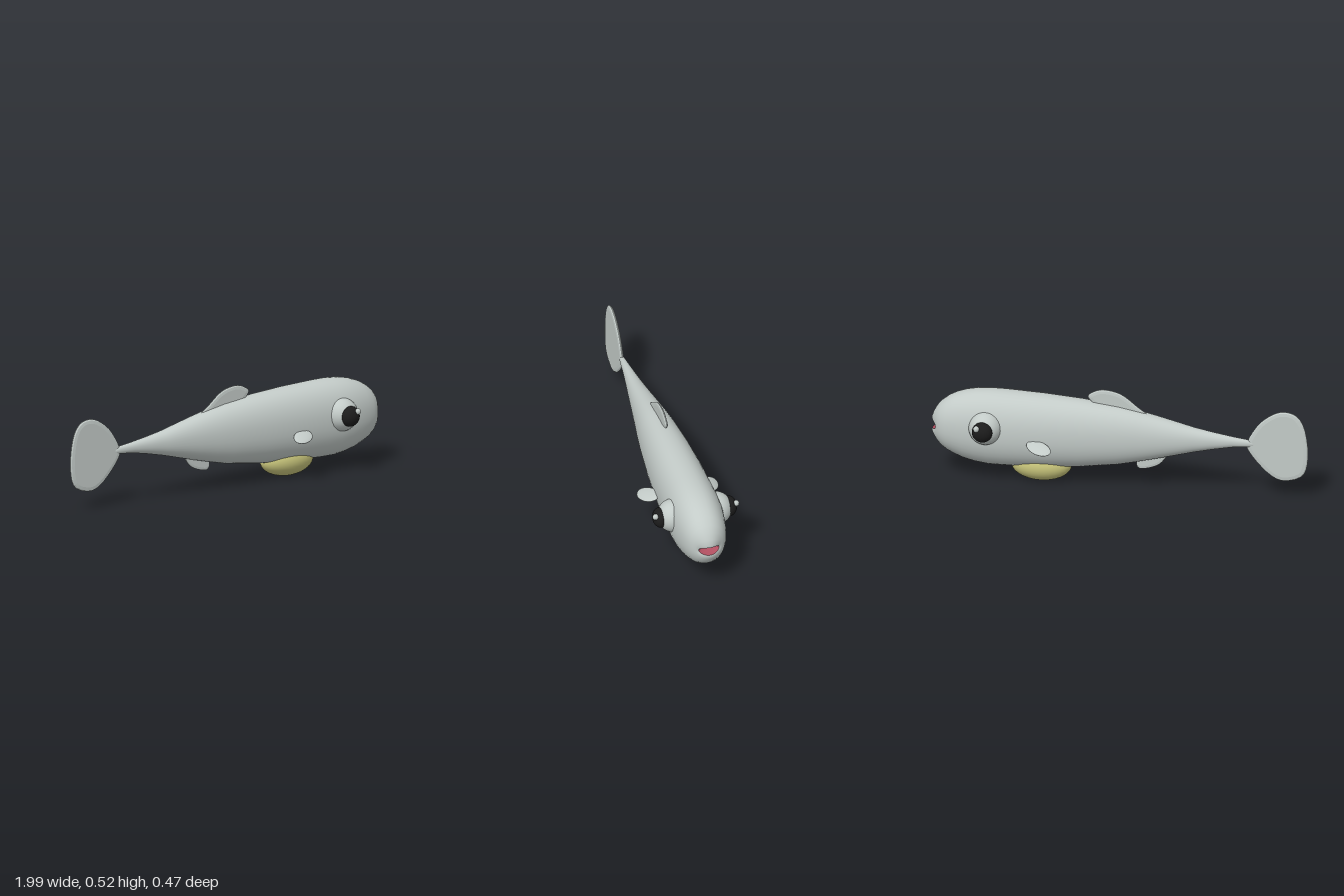
import * as THREE from 'three';

const mat = (name, color, side = THREE.FrontSide) => {
  const m = new THREE.MeshStandardMaterial({ color, side });
  m.name = name;
  return m;
};

// Lofted skin through elliptical rings [x, centre y, half height, half width, bend].
// Bend sweeps the sides of a ring back in x.
function loft(rings, sides = 40, power = 0.92) {
  const pos = [], index = [];
  const soft = (v) => Math.sign(v) * Math.abs(v) ** power;
  for (const [x, yc, ry, rz, bend = 0] of rings) {
    for (let j = 0; j < sides; j++) {
      const t = (j / sides) * Math.PI * 2;
      const z = rz * soft(Math.sin(t));
      pos.push(x - bend * z * z, yc + ry * soft(Math.cos(t)), z);
    }
  }
  for (let i = 0; i < rings.length - 1; i++) {
    for (let j = 0; j < sides; j++) {
      const k = (j + 1) % sides;
      const a = i * sides + j, c = i * sides + k, b = a + sides, d = c + sides;
      index.push(a, c, b, c, d, b);
    }
  }
  const g = new THREE.BufferGeometry();
  g.setAttribute('position', new THREE.Float32BufferAttribute(pos, 3));
  g.setIndex(index);
  g.computeVertexNormals();
  return g;
}

// Thin upright fin with a tapered rim, centred on z = 0
function finGeometry(points, half, rim) {
  const curve = new THREE.SplineCurve(points.map(([x, y]) => new THREE.Vector2(x, y)));
  const core = half * 0.2;
  const g = new THREE.ExtrudeGeometry(new THREE.Shape(curve.getPoints(36)), {
    depth: core * 2, bevelEnabled: true, bevelThickness: half - core,
    bevelSize: rim, bevelOffset: -rim, bevelSegments: 2,
  });
  return g.translate(0, 0, -core);
}

export function createModel() {
  const root = new THREE.Group();
  root.name = 'fish';
  const skin = mat('pale grey skin', 0xc3cbc8);
  const black = mat('black pupil', 0x1c1c1c);
  const yellow = mat('yellow belly', 0xc9c67c);
  const red = mat('red mouth', 0xb04f60, THREE.DoubleSide);

  const add = (name, geometry, material, parent = root) => {
    const mesh = new THREE.Mesh(geometry, material);
    mesh.name = name;
    parent.add(mesh);
    return mesh;
  };

  // Body, from tail root to lips
  const lip = [0.985, 0.27, 0.024, 0.055, 9];
  add('body', loft([
    [-0.725, 0.285, 0.001, 0.001],
    [-0.715, 0.286, 0.013, 0.01],
    [-0.68, 0.288, 0.02, 0.015],
    [-0.6, 0.29, 0.028, 0.024],
    [-0.5, 0.288, 0.045, 0.036],
    [-0.4, 0.286, 0.065, 0.05],
    [-0.2, 0.284, 0.115, 0.077],
    [-0.1, 0.283, 0.138, 0.091],
    [0, 0.281, 0.158, 0.103],
    [0.2, 0.279, 0.183, 0.122],
    [0.4, 0.278, 0.197, 0.134],
    [0.6, 0.278, 0.204, 0.14],
    [0.68, 0.278, 0.204, 0.141],
    [0.75, 0.28, 0.197, 0.138],
    [0.81, 0.281, 0.184, 0.13],
    [0.86, 0.282, 0.166, 0.12],
    [0.9, 0.281, 0.146, 0.109],
    [0.935, 0.28, 0.12, 0.096, 1],
    [0.96, 0.279, 0.092, 0.083, 2.5],
    [0.978, 0.276, 0.062, 0.071, 5],
    [0.988, 0.272, 0.037, 0.061, 8],
    lip,
  ]), skin);

  // Recessed mouth
  add('mouth', loft([
    lip,
    [0.965, 0.27, 0.02, 0.05, 6],
    [0.945, 0.27, 0.012, 0.038, 2],
    [0.94, 0.27, 0.0005, 0.0005],
  ]), red);

  // Rounded belly pouch
  const belly = add('belly', new THREE.SphereGeometry(1, 32, 20), yellow);
  belly.scale.set(0.16, 0.086, 0.093);
  belly.position.set(0.41, 0.09, 0);

  // Tail, back and belly fins
  add('tailFin', finGeometry([
    [-0.675, 0.285], [-0.7, 0.34], [-0.75, 0.41], [-0.82, 0.462], [-0.88, 0.478],
    [-0.94, 0.46], [-0.98, 0.4], [-1, 0.29], [-0.995, 0.18], [-0.96, 0.12],
    [-0.87, 0.095], [-0.8, 0.123], [-0.73, 0.19], [-0.685, 0.25], [-0.675, 0.285],
  ], 0.01, 0.022), skin);
  add('backFin', finGeometry([
    [-0.155, 0.405], [-0.1, 0.443], [-0.03, 0.497], [0.03, 0.52], [0.1, 0.523],
    [0.16, 0.492], [0.15, 0.462], [0.1, 0.42], [0, 0.38], [-0.1, 0.37], [-0.155, 0.405],
  ], 0.008, 0.02), skin);
  add('bellyFin', finGeometry([
    [-0.25, 0.175], [-0.215, 0.135], [-0.165, 0.112], [-0.115, 0.103], [-0.095, 0.12],
    [-0.1, 0.155], [-0.14, 0.21], [-0.21, 0.22], [-0.25, 0.175],
  ], 0.007, 0.014), skin);

  // Eyes and side fins, mirrored across z
  for (const s of [1, -1]) {
    const eye = new THREE.Group();
    eye.name = s > 0 ? 'frontEye' : 'backEye';
    root.add(eye);
    add('eyeball', new THREE.SphereGeometry(0.088, 24, 16), skin, eye)
      .position.set(0.682, 0.308, s * 0.113);
    const pupil = add('pupil', new THREE.SphereGeometry(1, 20, 14), black, eye);
    pupil.scale.set(0.054, 0.054, 0.042);
    pupil.position.set(0.685, 0.31, s * 0.184);
    add('highlight', new THREE.SphereGeometry(0.017, 8, 6), skin, eye)
      .position.set(0.71, 0.338, s * 0.217);

    const fin = add(s > 0 ? 'frontSideFin' : 'backSideFin', new THREE.SphereGeometry(1, 24, 12), skin);
    fin.scale.set(0.075, 0.01, 0.045);
    fin.rotation.set(s * 0.42, s * 0.53, 0);
    fin.position.set(0.39, 0.238, s * 0.168);
  }
  return root;
}
